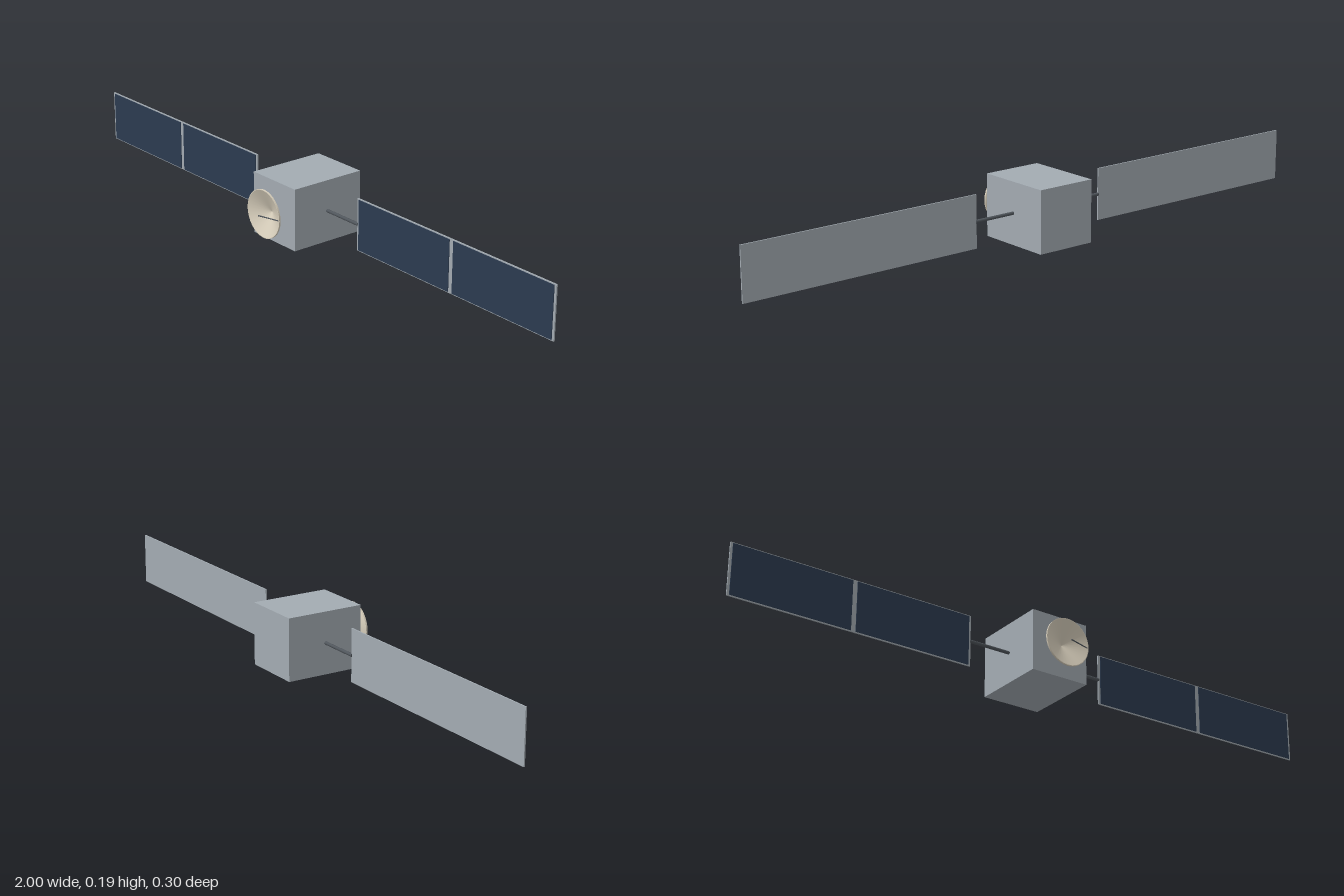
import * as THREE from 'three';

const material = (name, color, extra = {}) => {
  const m = new THREE.MeshStandardMaterial({ color, ...extra });
  m.name = name;
  return m;
};

export function createModel() {
  const hull = material('hull grey', 0xa3abb2);
  const cells = material('solar cell blue', 0x2c3b50);
  const cream = material('dish cream', 0xd8cfbc, { side: THREE.DoubleSide });
  const dark = material('strut grey', 0x50565c);

  const model = new THREE.Group();
  model.name = 'satellite';
  const MID = 0.096, WING_Z = -0.028;

  const add = (parent, name, geometry, mat, x, y, z) => {
    const mesh = new THREE.Mesh(geometry, mat);
    mesh.name = name;
    mesh.position.set(x, y, z);
    parent.add(mesh);
    return mesh;
  };
  // Straight rod between two points
  const rod = (parent, name, a, b, rA, rB, mat) => {
    const dir = b.clone().sub(a);
    const mid = a.clone().add(b).multiplyScalar(0.5);
    const mesh = add(parent, name, new THREE.CylinderGeometry(rB, rA, dir.length(), 12), mat, mid.x, mid.y, mid.z);
    mesh.quaternion.setFromUnitVectors(new THREE.Vector3(0, 1, 0), dir.normalize());
  };

  // Main body
  add(model, 'body', new THREE.BoxGeometry(0.19, 0.19, 0.245), hull, 0, 0.095, -0.0295);

  // Solar wings: boom, backing panel and two cell fields facing forward
  for (const side of [-1, 1]) {
    const wing = new THREE.Group();
    wing.name = side > 0 ? 'leftWing' : 'rightWing';
    model.add(wing);
    rod(wing, 'boom', new THREE.Vector3(side * 0.09, MID, WING_Z),
      new THREE.Vector3(side * 0.232, MID, WING_Z), 0.005, 0.005, dark);
    add(wing, 'panel', new THREE.BoxGeometry(0.77, 0.16, 0.004), hull, side * 0.615, MID, WING_Z);
    for (const [inner, outer] of [[0.237, 0.608], [0.623, 0.993]]) {
      add(wing, 'solarCells', new THREE.BoxGeometry(outer - inner, 0.154, 0.002), cells,
        side * (inner + outer) / 2, MID, WING_Z + 0.003);
    }
  }

  // Conical dish with a narrow rim, opening forward
  const profile = [[0, 0], [0.074, 0.033], [0.074, 0.038], [0.072, 0.038], [0, 0.005]];
  const dish = new THREE.Group();
  dish.name = 'dish';
  dish.position.set(0, MID, 0.095);
  model.add(dish);
  ['dishBack', 'dishRim', 'dishLip', 'dishBowl'].forEach((name, i) => {
    const points = [profile[i], profile[i + 1]].map(([r, h]) => new THREE.Vector2(r, h));
    add(dish, name, new THREE.LatheGeometry(points, 32), cream, 0, 0, 0).rotation.x = Math.PI / 2;
  });

  // Feed arm reaching from the rim to the focus
  rod(dish, 'feedArm', new THREE.Vector3(0.07, 0, 0.036), new THREE.Vector3(0, 0, 0.056), 0.0015, 0.002, dark);

  return model;
}
